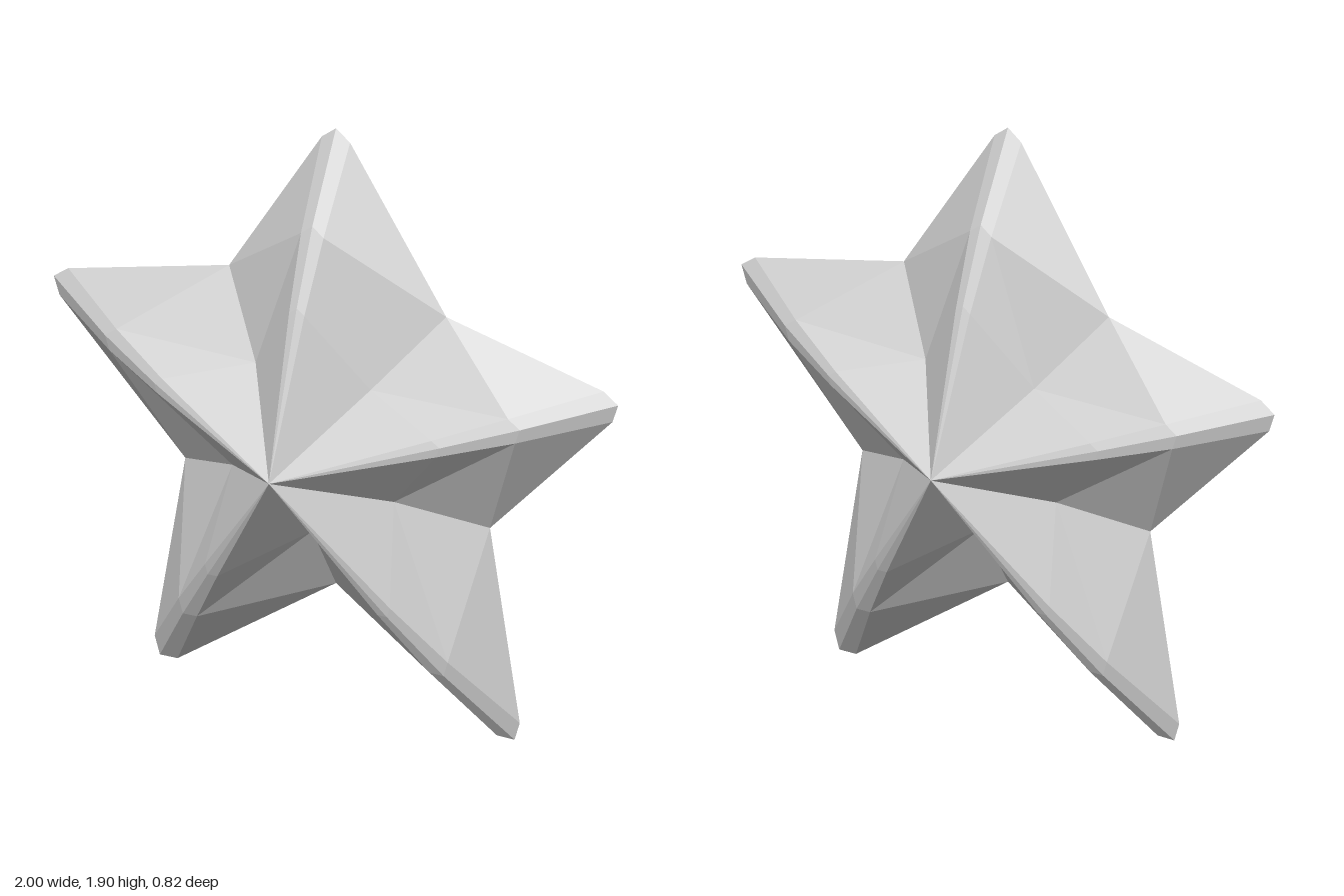
import * as THREE from 'three';

const CENTRE_Y = 0.872;
// Reach of each arm tip and of the valley that follows it, clockwise from the top
const TIPS = [1.033, 1.05, 1.075, 1.06, 1.05];
const VALLEYS = [[0.39, 1.36], [0.545, 0.69], [0, 0.388], [-0.533, 0.69], [-0.378, 1.367]];
// Contours from the rim up towards the apex: height, ridge reach, half ridge width, valley reach
const LAYERS = [
  { z: 0, ridge: 1, width: 0.05, valley: 1 },
  { z: 0.145, ridge: 0.735, width: 0.04, valley: 0.53 },
  { z: 0.24, ridge: 0.505, width: 0.027, valley: 0.34 },
];
const APEX_Z = 0.41;

// One closed contour, four points per arm: ridge left, ridge middle, ridge right, valley
function contour({ z, ridge, width, valley }) {
  const points = [];
  TIPS.forEach((tip, i) => {
    const a = (i * Math.PI * 2) / 5;
    const dx = Math.sin(a), dy = Math.cos(a);
    const r = tip * ridge;
    const rSide = r - width * 0.75;
    const place = (along, across) => points.push(new THREE.Vector3(
      dx * along + dy * across, CENTRE_Y + dy * along - dx * across, z));
    place(rSide, -width);
    place(r, 0);
    place(rSide, width);
    const [vx, vy] = VALLEYS[i];
    points.push(new THREE.Vector3(vx * valley, CENTRE_Y + (vy - CENTRE_Y) * valley, z));
  });
  return points;
}

// Half of the star; side is +1 for the front and -1 for the back
function halfStar(side) {
  const rings = LAYERS.map(contour);
  const apex = new THREE.Vector3(0, CENTRE_Y, APEX_Z);
  const positions = [];
  const tri = (a, b, c) => {
    for (const p of side > 0 ? [a, b, c] : [a, c, b]) positions.push(p.x, p.y, p.z * side);
  };
  const n = rings[0].length;
  for (let i = 0; i < n; i++) {
    const j = (i + 1) % n;
    for (let k = 0; k < rings.length - 1; k++) {
      const a = rings[k], b = rings[k + 1];
      // Mirror the diagonal on the two flanks of each arm
      if (i % 4 === 0 || i % 4 === 3) {
        tri(b[i], b[j], a[i]);
        tri(a[i], b[j], a[j]);
      } else {
        tri(b[i], a[j], a[i]);
        tri(b[i], b[j], a[j]);
      }
    }
    const top = rings[rings.length - 1];
    tri(apex, top[j], top[i]);
  }
  const geometry = new THREE.BufferGeometry();
  geometry.setAttribute('position', new THREE.Float32BufferAttribute(positions, 3));
  geometry.computeVertexNormals();
  return geometry;
}

export function createModel() {
  const group = new THREE.Group();
  group.name = 'star';
  const lightGrey = new THREE.MeshStandardMaterial({ color: 0xcccccc, flatShading: true });
  lightGrey.name = 'light grey';
  for (const [name, side] of [['starFront', 1], ['starBack', -1]]) {
    const mesh = new THREE.Mesh(halfStar(side), lightGrey);
    mesh.name = name;
    group.add(mesh);
  }
  return group;
}
